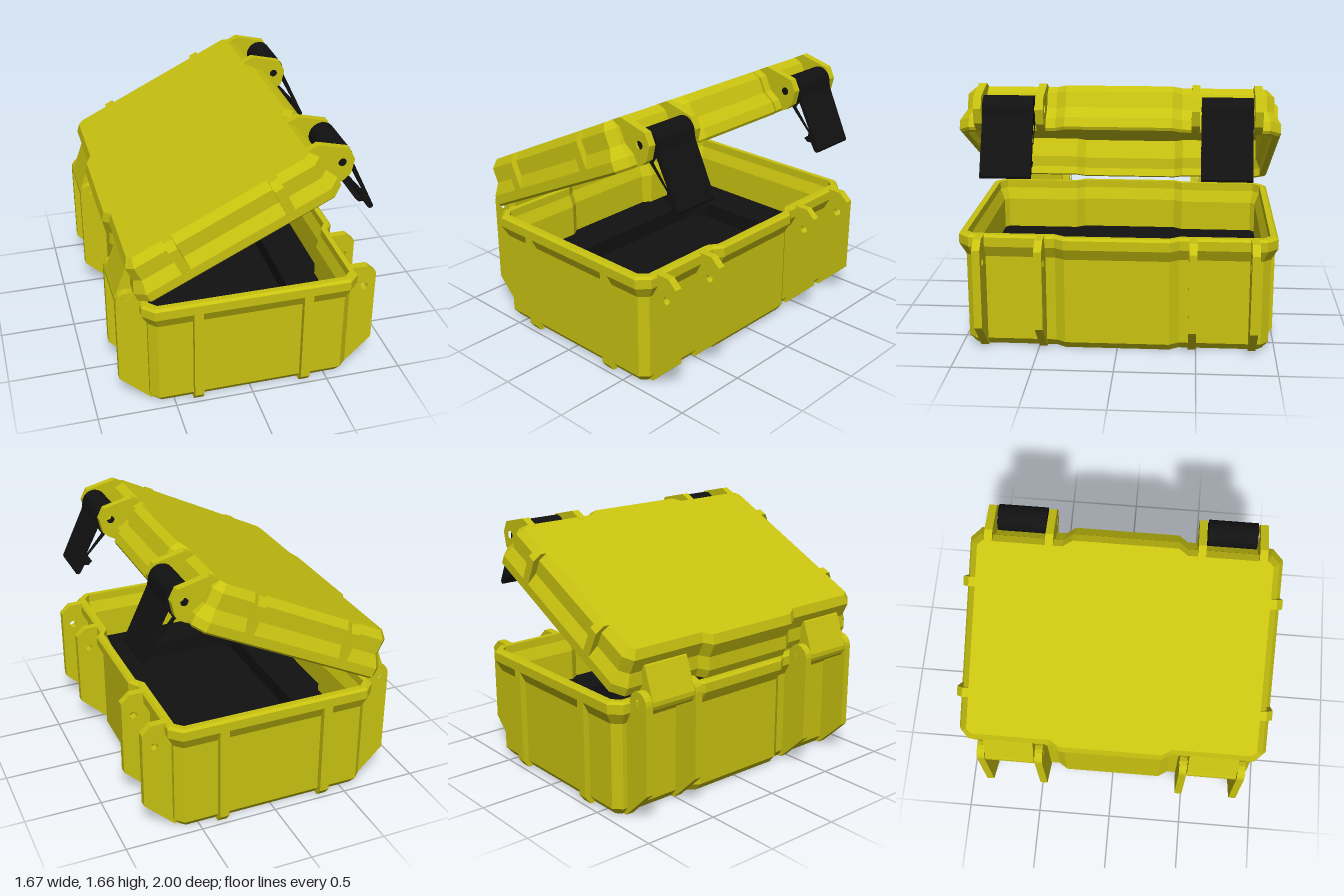
import * as THREE from 'three';

const PIVOT = [-0.76, 0.755];   // hinge axis
const OPEN = 0.457;             // lid opening angle

const yellow = new THREE.MeshStandardMaterial({ color: 0xc8c210, flatShading: true });
const black = new THREE.MeshStandardMaterial({ color: 0x111111, flatShading: true });

function add(parent, name, geometry, material = yellow) {
  const mesh = new THREE.Mesh(geometry, material);
  mesh.name = name;
  parent.add(mesh);
  return mesh;
}

// Plan outline of the case, inset by d: cut corners, long sides bulging in the middle
function outline(d) {
  const x = 0.69 - d, z = 1 - d, c = 0.07 - d * 0.5;
  const q = [[x - c, z], [x, z - c], [x, 0.39], [x + 0.04, 0.33]];
  const half = [...q, ...q.slice().reverse().map(([a, b]) => [a, -b])];
  return [...half, ...half.slice().reverse().map(([a, b]) => [-a, b])];
}

// Closed shell through a profile of [inset, y] rings, capped at both ends
function shell(profile) {
  const pos = [], idx = [];
  const rings = profile.map(([d, y]) => outline(d).map(([x, z]) => [x, y, z]));
  const n = rings[0].length;
  rings.forEach(r => r.forEach(p => pos.push(...p)));
  for (let i = 0; i < rings.length - 1; i++) {
    for (let j = 0; j < n; j++) {
      const a = i * n + j, b = i * n + (j + 1) % n;
      idx.push(a, b, b + n, a, b + n, a + n);
    }
  }
  const first = pos.length / 3, last = first + 1, top = (rings.length - 1) * n;
  pos.push(0, profile[0][1], 0, 0, profile[profile.length - 1][1], 0);
  for (let j = 0; j < n; j++) {
    const k = (j + 1) % n;
    idx.push(first, k, j, last, top + j, top + k);
  }
  // the outline runs from +z to +x, so rising rings need the reversed order
  const g = new THREE.BufferGeometry();
  g.setAttribute('position', new THREE.Float32BufferAttribute(pos, 3));
  g.setIndex(idx);
  const vol = signedVolume(pos, idx);
  if (vol < 0) g.setIndex(idx.slice().reverse());
  g.computeVertexNormals();
  return g;
}

function signedVolume(p, idx) {
  const v = i => new THREE.Vector3(p[3 * i], p[3 * i + 1], p[3 * i + 2]);
  let sum = 0;
  for (let i = 0; i < idx.length; i += 3) sum += v(idx[i]).dot(v(idx[i + 1]).cross(v(idx[i + 2])));
  return sum;
}

const toShape = pts => new THREE.Shape(pts.map(p => new THREE.Vector2(...p)));

const circle = (x, y, r) => new THREE.Path().absarc(x, y, r, 0, Math.PI * 2, true);

// Points on an arc, for rounded corners of plates
function arc(x, y, r, from, to, steps = 8) {
  return Array.from({ length: steps + 1 }, (_, i) => {
    const t = from + (to - from) * i / steps;
    return [x + r * Math.cos(t), y + r * Math.sin(t)];
  });
}

// Side profile in x, y extruded from z0 to z1, with optional holes
function plate(pts, z0, z1, holes = []) {
  const s = toShape(pts);
  s.holes.push(...holes);
  const g = new THREE.ExtrudeGeometry(s, { depth: z1 - z0, bevelEnabled: false, curveSegments: 10 });
  return g.translate(0, 0, z0);
}

// Ribs on both end walls, from a profile in z, y
function endRibs(parent, name, pts) {
  for (const side of [1, -1]) for (const x of [-0.35, 0.35]) {
    const g = plate(pts.map(([z, y]) => [-side * z, y]), -0.03, 0.03);
    add(parent, name, g.rotateY(Math.PI / 2).translate(x, 0, 0));
  }
}

// Two plates at each of the two latch and hinge stations
const PLATES = [[0.45, 0.5], [0.83, 0.88], [-0.5, -0.45], [-0.88, -0.83]];
const STATIONS = [[0.51, 0.82], [-0.82, -0.51]];

export function createModel() {
  const model = new THREE.Group();
  model.name = 'openCase';

  // Lower half
  const base = new THREE.Group();
  base.name = 'base';
  model.add(base);
  add(base, 'baseShell', shell([
    [0.08, 0], [0.04, 0.05], [0.04, 0.605], [0, 0.68], [0, 0.74], [0.015, 0.755],
    [0.05, 0.755], [0.05, 0.7], [0.08, 0.62], [0.08, 0.05],
  ]));
  endRibs(base, 'baseRib', [[0.93, 0], [0.96, 0], [1, 0.05], [1, 0.7], [0.95, 0.7], [0.94, 0.05]]);

  const latchEar = [[0.61, 0], [0.64, 0], [0.835, 0.19], [0.835, 0.7], [0.775, 0.755], [0.64, 0.755], [0.64, 0.05]];
  const hingeEar = [[-0.61, 0], [-0.64, 0], [-0.835, 0.19],
    ...arc(...PIVOT, 0.075, Math.PI, 0), [-0.66, 0.72], [-0.64, 0.68], [-0.64, 0.05]];
  for (const [a, b] of PLATES) {
    add(base, 'baseLatchPlate', plate(latchEar, a, b, [circle(0.76, 0.605, 0.025)]));
    add(base, 'baseHingePlate', plate(hingeEar, a, b, [circle(...PIVOT, 0.025)]));
  }

  // Foam lining with a rounded pocket
  const foam = new THREE.Group();
  foam.name = 'foam';
  model.add(foam);
  const pocket = new THREE.Path();
  pocket.moveTo(-0.25, -0.65);
  pocket.lineTo(0.25, -0.65);
  pocket.quadraticCurveTo(0.38, -0.65, 0.38, -0.5);
  pocket.lineTo(0.38, 0.5);
  pocket.quadraticCurveTo(0.38, 0.65, 0.25, 0.65);
  pocket.lineTo(-0.25, 0.65);
  pocket.quadraticCurveTo(-0.38, 0.65, -0.38, 0.5);
  pocket.lineTo(-0.38, -0.5);
  pocket.quadraticCurveTo(-0.38, -0.65, -0.25, -0.65);
  const lining = plate(outline(0.082), 0.06, 0.41, [pocket]);
  add(foam, 'foamLining', lining.rotateX(-Math.PI / 2), black);
  add(foam, 'foamPocketFloor', new THREE.BoxGeometry(0.78, 0.24, 1.32).translate(0, 0.18, 0), black);

  // Lid, modelled closed and swung about the hinge axis
  const hinge = new THREE.Group();
  hinge.name = 'lidHinge';
  hinge.position.set(...PIVOT, 0);
  hinge.rotation.z = OPEN;
  model.add(hinge);
  const lid = new THREE.Group();
  lid.name = 'lid';
  lid.position.set(-PIVOT[0], -PIVOT[1], 0);
  hinge.add(lid);
  add(lid, 'lidShell', shell([
    [0.08, 1.015], [0.08, 0.88], [0.05, 0.81], [0.05, 0.755], [0.015, 0.755], [0, 0.77],
    [0, 0.83], [0.04, 0.905], [0.04, 1.005], [0.08, 1.055],
  ]));
  endRibs(lid, 'lidRib', [[0.95, 0.81], [1, 0.81], [1, 1.005], [0.96, 1.055], [0.91, 1.055], [0.94, 1]]);

  const lidEar = [[0.59, 1.056], [0.68, 1.056], [0.835, 0.926], [0.835, 0.845],
    [0.775, 0.77], [0.72, 0.755], [0.645, 0.755], [0.645, 0.82], [0.62, 0.9], [0.62, 1.0]];
  for (const [a, b] of PLATES) {
    add(lid, 'lidLatchPlate', plate(lidEar, a, b, [circle(0.76, 0.87, 0.025)]));
  }

  // Hinge arms reach from the lid wall down to the pivot
  const arm = [[-0.645, 0.95], [-0.66, 0.95], ...arc(...PIVOT, 0.074, 2.1, 5.2), [-0.685, 0.757], [-0.645, 0.77]];
  for (const s of [1, -1]) {
    const [a, b] = s > 0 ? [0.505, 0.825] : [-0.825, -0.505];
    add(lid, 'hingeArm', plate(arm, a, b, [circle(...PIVOT, 0.025)]));
  }

  // Latches hang from the lid: barrel, outer strap, inner strut and hook
  const latch = [
    ...arc(0.555, 1.53, 0.083, 3.9, 0, 12), [0.645, 1.49], [0.8, 1.165], [0.795, 1.15], [0.78, 1.145],
    [0.765, 1.155], [0.735, 1.205], [0.705, 1.203], [0.68, 1.225], [0.71, 1.24], [0.712, 1.268], [0.575, 1.41],
  ];
  const gap = new THREE.Path([[0.605, 1.42], [0.628, 1.455], [0.712, 1.295], [0.705, 1.3]]
    .map(p => new THREE.Vector2(...p)));
  for (const [a, b] of STATIONS) {
    add(model, 'latch', plate(latch, a, b, [circle(0.555, 1.53, 0.025), gap]), black);
  }
  return model;
}
